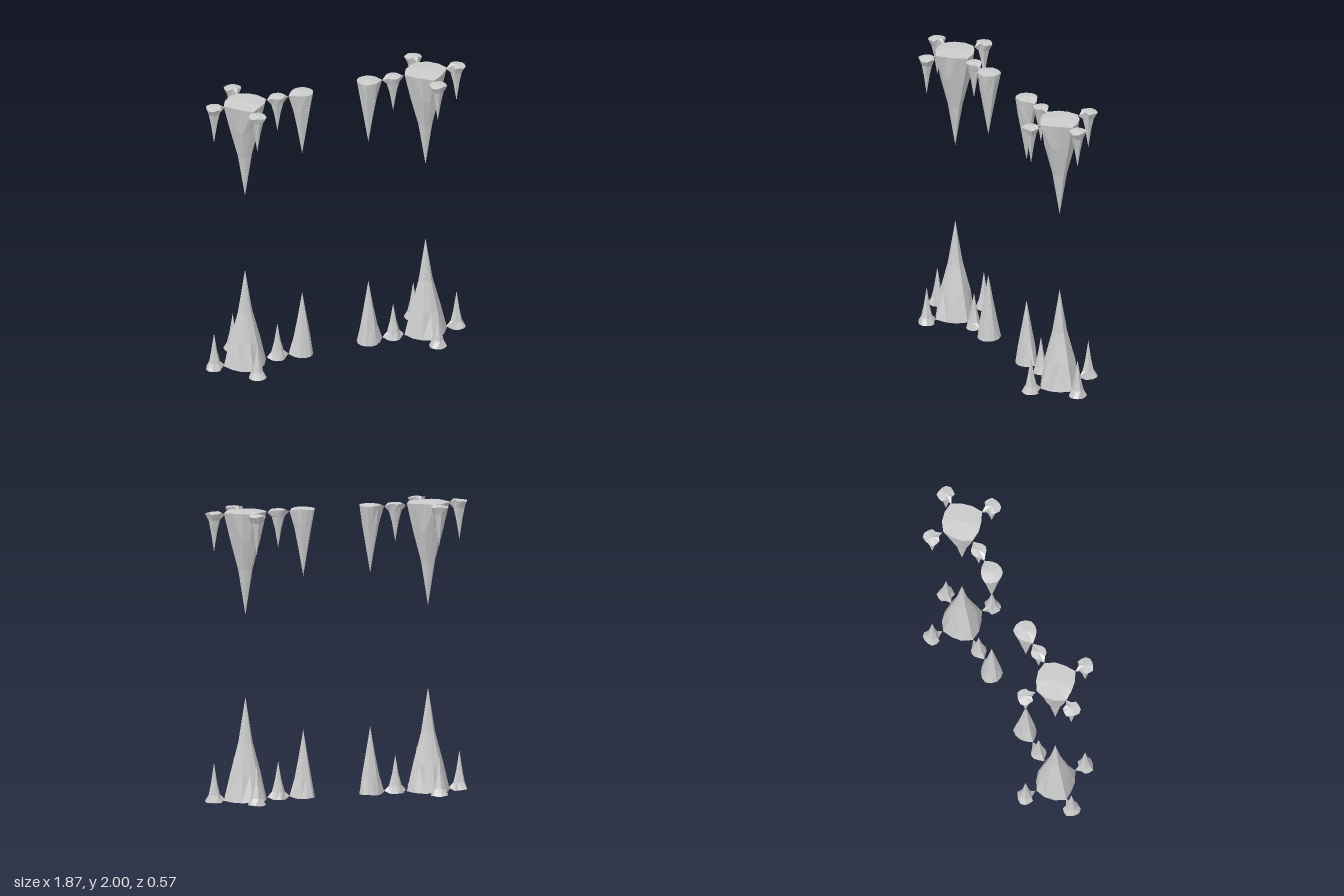
import * as THREE from 'three';

// Base outlines: 12 radii, counted from the side that faces the cluster centre
const OUTLINES = {
  large: [0.152, 0.137, 0.130, 0.145, 0.136, 0.138, 0.155, 0.130, 0.133, 0.155, 0.130, 0.134],
  medium: [0.100, 0.078, 0.074, 0.072, 0.077, 0.075, 0.077, 0.080, 0.086, 0.077, 0.073, 0.078],
  link: [0.078, 0.052, 0.054, 0.054, 0.053, 0.053, 0.080, 0.053, 0.052, 0.055, 0.053, 0.053],
  small: [0.078, 0.044, 0.058, 0.058, 0.064, 0.054, 0.056, 0.064, 0.064, 0.056, 0.060, 0.042],
};

// Profiles above the base: [height, radius]
const PROFILES = {
  large: [[0.2, 0.1], [0.41, 0.048]],
  medium: [[0.14, 0.056], [0.28, 0.032]],
  link: [[0.06, 0.039], [0.14, 0.021]],
  small: [[0.06, 0.037], [0.14, 0.021]],
};

const HEIGHTS = { large: 0.72, medium: 0.475, link: 0.27, small: 0.28 };

// One spike cluster: position and the direction of the side that touches a neighbour
const SPIKES = [
  { name: 'mainSpike', kind: 'large', x: 0.655, z: 0, turn: Math.PI },
  { name: 'innerSpike', kind: 'medium', x: 0.24, z: 0, turn: 0 },
  { name: 'linkSpike', kind: 'link', x: 0.42, z: 0, turn: 0 },
  { name: 'outerSpike', kind: 'small', x: 0.88, z: 0, turn: Math.PI },
  { name: 'frontSpike', kind: 'small', x: 0.655, z: 0.23, turn: -Math.PI / 2 },
  { name: 'backSpike', kind: 'small', x: 0.655, z: -0.23, turn: Math.PI / 2 },
];

// Fluted, tapering spike; sx and sy mirror it across x and y
function spikeGeometry(kind, turn, sx, sy) {
  const outline = OUTLINES[kind];
  const n = outline.length;
  const mean = outline.reduce((a, b) => a + b) / n;
  const pos = [];
  const index = [];
  const add = (x, y, z) => pos.push(x * sx, y * sy, z);
  const tri = (a, b, c) => (sx * sy > 0 ? index.push(a, b, c) : index.push(a, c, b));

  // Rings: the base follows the outline, the upper ones get rounder
  const rings = [[0.012, mean], ...PROFILES[kind]];
  rings.forEach(([y, r], level) => {
    const keep = [1, 0.3, 0.15][level];
    outline.forEach((o, i) => {
      const a = turn + (i / n) * Math.PI * 2;
      const flute = level ? 1 + 0.06 * Math.cos(i * Math.PI) : 1;
      const radius = r * flute * (1 + keep * (o / mean - 1));
      const lift = level ? 0 : Math.max(-0.01, (o / mean - 1) * 0.04);
      add(Math.cos(a) * radius, y + lift, Math.sin(a) * radius);
    });
  });
  const tip = rings.length * n;
  add(0, HEIGHTS[kind], 0);
  add(0, 0.002, 0);

  for (let i = 0; i < n; i++) {
    const j = (i + 1) % n;
    tri(tip + 1, i, j);
    for (let k = 0; k < rings.length - 1; k++) {
      const a = k * n + i, b = k * n + j;
      tri(a, a + n, b);
      tri(b, a + n, b + n);
    }
    tri(tip - n + i, tip, tip - n + j);
  }
  const geometry = new THREE.BufferGeometry();
  geometry.setAttribute('position', new THREE.Float32BufferAttribute(pos, 3));
  geometry.setIndex(index);
  const flat = geometry.toNonIndexed();
  flat.computeVertexNormals();
  return flat;
}

export function createModel() {
  const model = new THREE.Group();
  model.name = 'spikeClusters';
  const material = new THREE.MeshStandardMaterial({ color: 0xcccccc, flatShading: true });

  // Left and right clusters, each rising from the floor and hanging from the ceiling
  for (const sx of [1, -1]) {
    for (const sy of [1, -1]) {
      const cluster = new THREE.Group();
      cluster.name = (sx > 0 ? 'left' : 'right') + (sy > 0 ? 'FloorSpikes' : 'CeilingSpikes');
      cluster.position.y = sy > 0 ? 0 : 2;
      for (const s of SPIKES) {
        const mesh = new THREE.Mesh(spikeGeometry(s.kind, s.turn, sx, sy), material);
        mesh.name = s.name;
        mesh.position.set(s.x * sx, 0, s.z);
        cluster.add(mesh);
      }
      model.add(cluster);
    }
  }
  return model;
}
